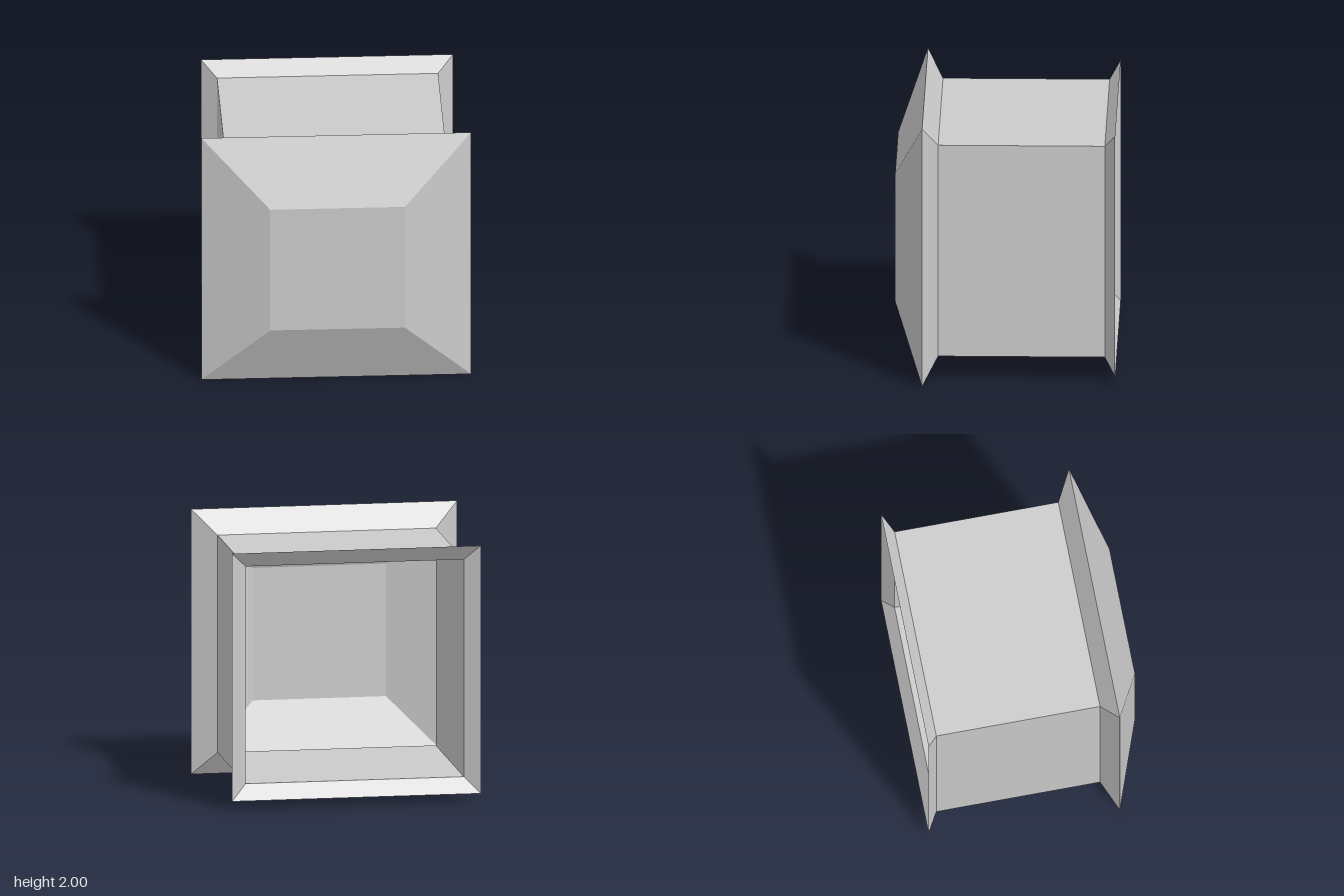
import * as THREE from 'three';

const material = new THREE.MeshStandardMaterial({
  color: 0xcccccc, flatShading: true, side: THREE.DoubleSide,
});

// Open square sleeve running along z, from half-width backHalf to frontHalf
function sleeve(name, backZ, backHalf, frontZ, frontHalf) {
  const geometry = new THREE.CylinderGeometry(
    frontHalf * Math.SQRT2, backHalf * Math.SQRT2, frontZ - backZ, 4, 1, true);
  geometry.rotateY(Math.PI / 4);
  geometry.rotateX(Math.PI / 2);
  const flat = geometry.toNonIndexed();
  flat.computeVertexNormals();
  const mesh = new THREE.Mesh(flat, material);
  mesh.name = name;
  mesh.position.set(0, 1, (backZ + frontZ) / 2);
  return mesh;
}

export function createModel() {
  const group = new THREE.Group();
  group.name = 'hollowSquareKnob';

  // Flat centre of the face
  const face = new THREE.Mesh(new THREE.PlaneGeometry(1, 1), material);
  face.name = 'facePanel';
  face.position.set(0, 1, 0.82);
  group.add(face);

  // Sloped face border, underside of the head, body and flared open rim
  group.add(
    sleeve('faceBevel', 0.61, 1, 0.82, 0.5),
    sleeve('headUnderside', 0.495, 0.82, 0.61, 1),
    sleeve('body', -0.74, 0.82, 0.495, 0.82),
    sleeve('backRim', -0.82, 0.935, -0.74, 0.82),
  );
  return group;
}
